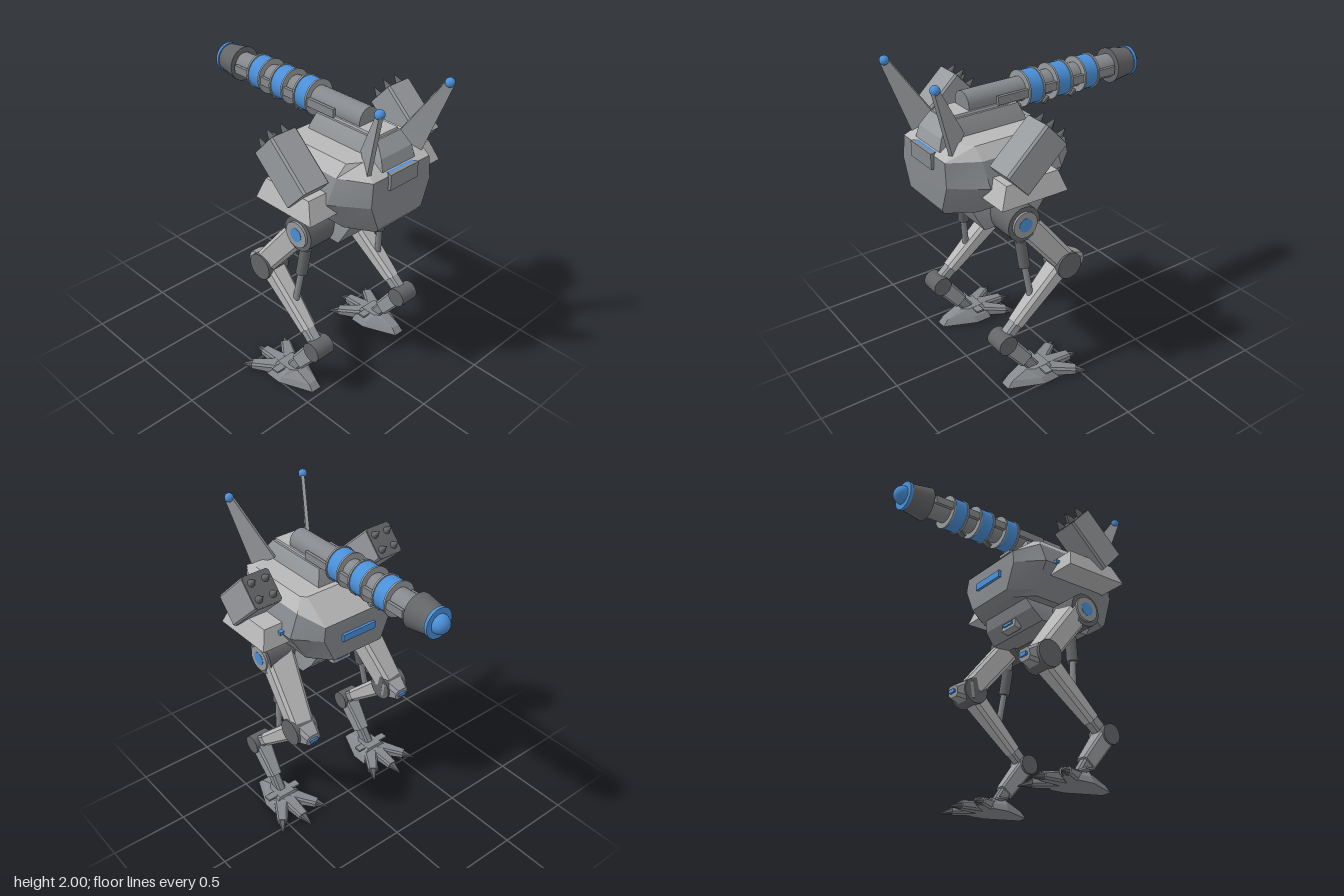
import * as THREE from 'three';
import { toCreasedNormals } from 'three/addons/utils/BufferGeometryUtils.js';

const paint = (color) => new THREE.MeshStandardMaterial({ color });
const PALE = paint(0xb8b8b8), MID = paint(0x989b9e), HULL = paint(0x86898d);
const DARK = paint(0x646567), BLUE = paint(0x4a90d9);

export function createModel() {
  const root = new THREE.Group();
  let target = root;

  const add = (name, geo, mat = MID) => {
    const mesh = new THREE.Mesh(toCreasedNormals(geo, 0.3), mat);
    mesh.name = name;
    target.add(mesh);
    return mesh;
  };

  // Closed solid through matching convex rings; faces are turned outwards
  function loftGeo(rings) {
    const tris = [], n = rings[0].length;
    const mid = (r) => [0, 1, 2].map((k) => r.reduce((t, p) => t + p[k], 0) / n);
    const first = rings[0], last = rings[rings.length - 1];
    const c0 = mid(first), c1 = mid(last);
    for (let i = 0; i < n; i++) {
      const j = (i + 1) % n;
      for (let k = 0; k + 1 < rings.length; k++) {
        const a = rings[k], b = rings[k + 1];
        tris.push([a[i], a[j], b[j]], [a[i], b[j], b[i]]);
      }
      tris.push([c0, first[j], first[i]], [c1, last[i], last[j]]);
    }
    const v = (p) => new THREE.Vector3(...p).sub(new THREE.Vector3(...c0));
    const volume = tris.reduce((t, [a, b, c]) => t + v(a).dot(v(b).cross(v(c))), 0);
    if (volume < 0) tris.forEach((t) => t.reverse());
    const geo = new THREE.BufferGeometry();
    geo.setAttribute('position', new THREE.Float32BufferAttribute(tris.flat(2), 3));
    return geo;
  }
  const loft = (name, rings, mat) => add(name, loftGeo(rings), mat);

  // Chamfered rectangle in the plane z
  const section = (w, h, z, c) => {
    const x = w / 2, y = h / 2;
    return [[x, y - c, z], [x - c, y, z], [c - x, y, z], [-x, y - c, z],
      [-x, c - y, z], [c - x, -y, z], [x - c, -y, z], [x, c - y, z]];
  };
  const place = (mesh, a, b) => {
    mesh.position.set(...a);
    const m = new THREE.Matrix4().lookAt(new THREE.Vector3(...b), mesh.position, new THREE.Vector3(0, 1, 0));
    mesh.quaternion.setFromRotationMatrix(m);
    return mesh;
  };
  const dist = (a, b) => Math.hypot(a[0] - b[0], a[1] - b[1], a[2] - b[2]);
  // Tapered beam from a to b
  const beam = (name, a, b, [w0, h0], [w1, h1], mat = MID, c = 0.012) =>
    place(loft(name, [section(w0, h0, 0, Math.min(c, w0 / 4, h0 / 4)),
      section(w1, h1, dist(a, b), Math.min(c, w1 / 4, h1 / 4))], mat), a, b);
  // Cylinder or cone from a to b
  const cyl = (name, a, b, r0, r1 = r0, mat = MID) => {
    const L = dist(a, b);
    return place(add(name, new THREE.CylinderGeometry(r1, r0, L, 24).translate(0, L / 2, 0).rotateX(Math.PI / 2), mat), a, b);
  };
  const box = (name, w, h, d, x, y, z, mat = MID, rx = 0) => {
    const m = add(name, new THREE.BoxGeometry(w, h, d), mat);
    m.position.set(x, y, z);
    m.rotation.x = rx;
  };
  const ball = (name, r, x, y, z) => add(name, new THREE.SphereGeometry(r, 24, 16), BLUE).position.set(x, y, z);

  // Eight-sided plan ring: half widths, front and back ends, corner depths
  const plan = (y, hx, zF, hF, zCF, zB, hB, zCB, yB = y) => [
    [hF, y, zF], [hx, y, zCF], [hx, y, zCB], [hB, yB, zB],
    [-hB, yB, zB], [-hx, y, zCB], [-hx, y, zCF], [-hF, y, zF]];
  const rect = (y, x0, x1, z0, z1) => [[x0, y, z0], [x1, y, z0], [x1, y, z1], [x0, y, z1]];

  // Hull and its paler roof
  const rim = plan(1.53, 0.325, 0.715, 0.225, 0.54, -0.085, 0.235, 0.06, 1.47);
  loft('hull', [
    plan(1.195, 0.265, 0.70, 0.17, 0.54, -0.04, 0.16, 0.07),
    plan(1.225, 0.285, 0.72, 0.18, 0.54, -0.09, 0.18, 0.055),
    plan(1.385, 0.385, 0.72, 0.24, 0.53, -0.09, 0.25, 0.055), rim], HULL);
  loft('roof', [rim, plan(1.60, 0.265, 0.60, 0.19, 0.55, 0.08, 0.235, 0.11)], PALE);
  box('frontPanel', 0.22, 0.095, 0.025, 0, 1.497, 0.722, HULL);
  box('frontPanelLight', 0.2, 0.014, 0.02, 0, 1.537, 0.702, BLUE);
  box('rearWindow', 0.24, 0.045, 0.025, 0, 1.36, -0.095, BLUE);
  box('rearHandle', 0.1, 0.018, 0.05, -0.15, 1.488, -0.06);
  box('rearHandleLamp', 0.05, 0.03, 0.02, -0.15, 1.467, -0.065, BLUE);

  // Cannon housing on the roof
  loft('cannonHousing', [rect(1.55, -0.13, 0.13, 0.11, 0.69), rect(1.62, -0.122, 0.122, 0.12, 0.67),
    rect(1.7, -0.094, 0.094, 0.15, 0.61)]);
  box('housingLid', 0.16, 0.02, 0.4, 0, 1.706, 0.4, PALE);

  // Cannon, pointing to -z
  const Y = 1.737;
  cyl('barrel', [0, Y, 0.46], [0, Y, -0.6], 0.073, 0.073, HULL);
  for (const z of [0.02, -0.18, -0.38]) {
    cyl('coil', [0, Y, z + 0.045], [0, Y, z - 0.045], 0.102, 0.102, BLUE);
    for (const e of [-1, 1]) cyl('coilFlange', [0, Y, z + e * 0.05 - 0.006], [0, Y, z + e * 0.05 + 0.006], 0.109);
    box('coilHook', 0.04, 0.016, 0.055, 0, Y - 0.11, z + 0.07, DARK, 0.6);
  }
  for (const s of [-1, 1]) box('barrelRail', 0.02, 0.05, 0.84, s * 0.086, Y, -0.14, HULL);
  cyl('muzzle', [0, Y, -0.58], [0, Y, -0.725], 0.108, 0.085, DARK);
  cyl('muzzleRing', [0, Y, -0.722], [0, Y, -0.742], 0.092, 0.092, BLUE);
  ball('muzzleOrb', 0.058, 0, Y, -0.747);

  // Pelvis
  loft('pelvis', [rect(1.055, -0.25, 0.25, 0.13, 0.49), rect(1.13, -0.235, 0.235, 0.06, 0.53),
    rect(1.21, -0.2, 0.2, 0.03, 0.56)], HULL);
  loft('pelvisWedge', [rect(1.125, -0.1, 0.1, 0.4, 0.56), rect(1.2, -0.05, 0.05, 0.4, 0.58)], DARK);
  box('pelvisSensor', 0.13, 0.055, 0.05, 0, 1.09, 0.085, MID, 0.2);
  box('pelvisLamp', 0.08, 0.02, 0.015, 0, 1.1, 0.058, BLUE, 0.2);
  cyl('hipAxle', [-0.3, 1.118, 0.333], [0.3, 1.118, 0.333], 0.09, 0.09, DARK);

  for (const s of [-1, 1]) {
    const side = s > 0 ? 'left' : 'right';
    const P = (x, y, z) => [s * x, y, z];
    const group = (name) => {
      target = new THREE.Group();
      target.name = side + name;
      root.add(target);
    };

    // Antenna blade: thin plate swept outwards and forwards
    group('Antenna');
    const blade = (o) => [[0.13, 1.625, 0.54], [0.21, 1.54, 0.665], [0.288, 1.97, 0.8], [0.256, 1.97, 0.755]]
      .map(([x, y, z]) => P(x + o * 0.83, y, z - o * 0.55));
    loft('antennaBlade', [blade(-0.011), blade(0.011)]);
    ball('antennaTip', 0.028, s * 0.273, 1.973, 0.777);

    // Sponson and missile pod
    group('Weapons');
    loft('sponson', [rect(1.32, s * 0.27, s * 0.53, 0.12, 0.555), rect(1.44, s * 0.27, s * 0.49, 0.16, 0.5)], PALE);
    box('sponsonLamp', 0.03, 0.02, 0.05, s * 0.39, 1.395, 0.145, BLUE);
    const dir = [0, 0.678, -0.735], up = [0, 0.735, 0.678];
    const pod = (x, u, l) => P(x, 1.563 + up[1] * u + dir[1] * l, 0.333 + up[2] * u + dir[2] * l);
    beam('missilePod', pod(0.455, 0, -0.173), pod(0.455, 0, 0.168), [0.185, 0.205], [0.185, 0.205]);
    beam('missileRack', pod(0.455, 0, 0.16), pod(0.455, 0, 0.173), [0.18, 0.2], [0.18, 0.2], DARK);
    for (const x of [0.407, 0.503]) for (const u of [-0.05, 0.05]) {
      cyl('missileTip', pod(x, u, 0.17), pod(x, u, 0.235), 0.024, 0.001, DARK);
    }

    // Hip joint
    group('Leg');
    cyl('hipJoint', P(0.18, 1.118, 0.333), P(0.415, 1.118, 0.333), 0.108, 0.108, DARK);
    cyl('hipCap', P(0.41, 1.118, 0.333), P(0.43, 1.118, 0.333), 0.08);
    cyl('hipLight', P(0.42, 1.118, 0.333), P(0.432, 1.118, 0.333), 0.043, 0.043, BLUE);

    // Thigh and knee
    beam('thigh', P(0.318, 1.11, 0.302), P(0.36, 0.77, 0.03), [0.19, 0.15], [0.145, 0.14], PALE, 0.02);
    cyl('knee', P(0.285, 0.74, 0.023), P(0.443, 0.74, 0.023), 0.085, 0.085, DARK);
    beam('kneeCap', P(0.36, 0.74, 0), P(0.36, 0.725, -0.105), [0.16, 0.15], [0.1, 0.075], MID, 0.02);
    beam('kneeLight', P(0.36, 0.726, -0.1), P(0.36, 0.725, -0.118), [0.06, 0.025], [0.06, 0.025], BLUE);

    // Shin, hock and lower leg
    beam('upperShin', P(0.36, 0.735, 0.03), P(0.374, 0.43, 0.375), [0.13, 0.12], [0.09, 0.088], PALE, 0.02);
    beam('lowerShin', P(0.373, 0.46, 0.34), P(0.378, 0.345, 0.47), [0.075, 0.075], [0.07, 0.075]);
    cyl('hock', P(0.312, 0.345, 0.47), P(0.445, 0.345, 0.47), 0.063, 0.063, DARK);
    beam('lowerLeg', P(0.38, 0.33, 0.455), P(0.382, 0.15, 0.315), [0.11, 0.11], [0.08, 0.1]);
    beam('anklePost', P(0.382, 0.2, 0.35), P(0.385, 0.06, 0.25), [0.06, 0.075], [0.06, 0.075], HULL);

    // Piston between hip and shin
    cyl('pistonArm', P(0.31, 1.07, 0.31), P(0.32, 0.9, 0.285), 0.025, 0.03, HULL);
    cyl('pistonSleeve', P(0.315, 0.95, 0.293), P(0.338, 0.78, 0.28), 0.035, 0.035, DARK);
    cyl('pistonRod', P(0.338, 0.8, 0.282), P(0.366, 0.55, 0.252), 0.02, 0.02, HULL);

    // Foot: wedge-shaped heel with three splayed toes and claws
    group('Foot');
    const sole = (y, wide, narrow, front, back) => [[wide, front], [wide, front + 0.11], [narrow, back],
      [-narrow, back], [-wide, front + 0.11], [-wide, front]].map(([x, z]) => P(0.385 + x, y, z));
    loft('heel', [sole(0, 0.125, 0.035, 0.14, 0.46), sole(0.04, 0.105, 0.03, 0.15, 0.425),
      sole(0.085, 0.06, 0.03, 0.17, 0.32)], HULL);
    box('footPlate', 0.25, 0.012, 0.05, s * 0.39, 0.078, 0.22, HULL);
    const toe = (angle) => {
      const at = (r, y) => P(0.39 + Math.sin(angle) * r, y, 0.24 - Math.cos(angle) * r);
      beam('toe', at(0.04, 0.038), at(0.255, 0.024), [0.1, 0.076], [0.068, 0.048], HULL);
      beam('claw', at(0.24, 0.024), at(0.335, 0.004), [0.058, 0.046], [0.006, 0.006], DARK);
    };
    for (const a of [-0.59, 0, 0.59]) toe(a);
  }
  return root;
}
